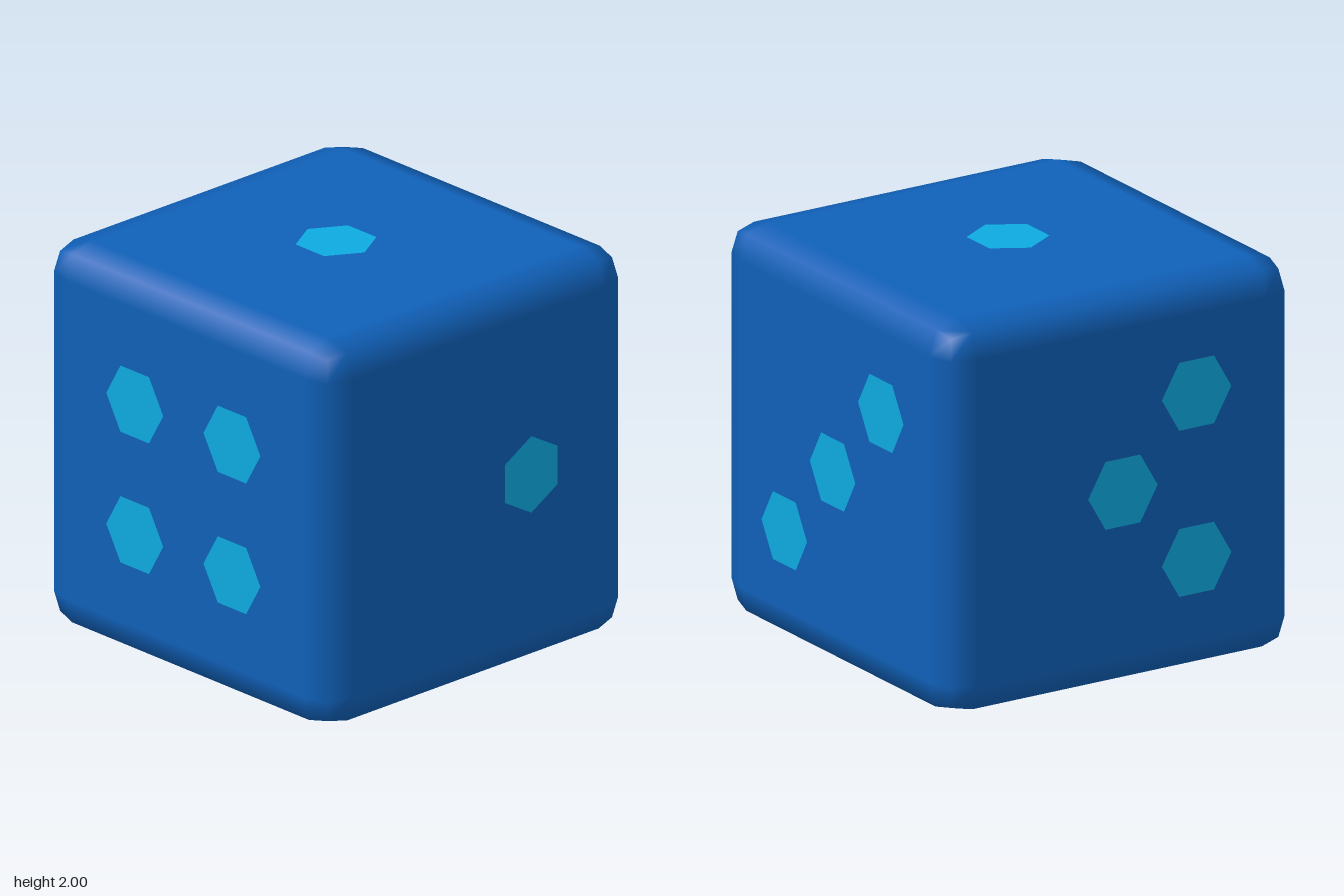
import * as THREE from 'three';

const HALF = 0.987;   // half width of the cube
const INNER = 0.823;  // where the flat of each face ends
// bevel offset per axis for points on a face, an edge and a corner
const OFFSET = [0, HALF - INNER, 0.129, 0.108];

// Cube whose outer ring of vertices is pulled in to round the edges
function roundedCube() {
  const geo = new THREE.BoxGeometry(2, 2, 2, 3, 3, 3);
  const pos = geo.attributes.position;
  const nor = geo.attributes.normal;
  const p = new THREE.Vector3();
  for (let i = 0; i < pos.count; i++) {
    p.fromBufferAttribute(pos, i);
    const out = p.toArray().map((v) => (Math.abs(v) > 0.9 ? Math.sign(v) : 0));
    const count = out.filter((v) => v !== 0).length;
    const q = p.toArray().map((v, k) => Math.sign(v) * INNER + out[k] * OFFSET[count]);
    pos.setXYZ(i, ...q);
    p.set(...out).normalize();
    nor.setXYZ(i, p.x, p.y, p.z);
  }
  return geo;
}

export function createModel() {
  const blue = new THREE.MeshStandardMaterial({ color: 0x1060b8 });
  blue.name = 'bodyBlue';
  const cyan = new THREE.MeshStandardMaterial({ color: 0x0eaae0 });
  cyan.name = 'pipCyan';

  const model = new THREE.Group();
  model.name = 'die';
  const body = new THREE.Mesh(roundedCube(), blue);
  body.name = 'body';
  body.position.y = 1;
  model.add(body);

  // Flat hexagonal pips, just clear of each face
  const hexagon = new THREE.CircleGeometry(0.198, 6);
  const q = Math.PI / 2;
  const a = 0.338, b = 0.42, c = 0.48;
  const faces = [
    { name: 'frontPips', rot: [0, 0, 0], at: [[-a, -a, 1], [a, -a, 1], [-a, a, 1], [a, a, 1]] },
    { name: 'backPips', rot: [0, Math.PI, 0], at: [[b, -b, -1], [0, 0, -1], [-b, b, -1]] },
    { name: 'topPip', rot: [-q, 0, 0], at: [[0, 1, 0]] },
    { name: 'bottomPips', rot: [q, 0, 0], at: [-a, a].flatMap((x) => [-c, 0, c].map((z) => [x, -1, z])) },
    { name: 'leftPip', rot: [0, q, q], at: [[1, 0, -a]] },
    { name: 'rightPips', rot: [0, -q, 0], at: [[-1, b, b], [-1, 0, 0], [-1, -b, b]] },
  ];
  for (const { name, rot, at } of faces) {
    const group = new THREE.Group();
    group.name = name;
    group.position.y = 1;
    for (const place of at) {
      const pip = new THREE.Mesh(hexagon, cyan);
      pip.name = 'pip';
      pip.position.set(...place);
      pip.rotation.set(...rot);
      group.add(pip);
    }
    model.add(group);
  }
  return model;
}
